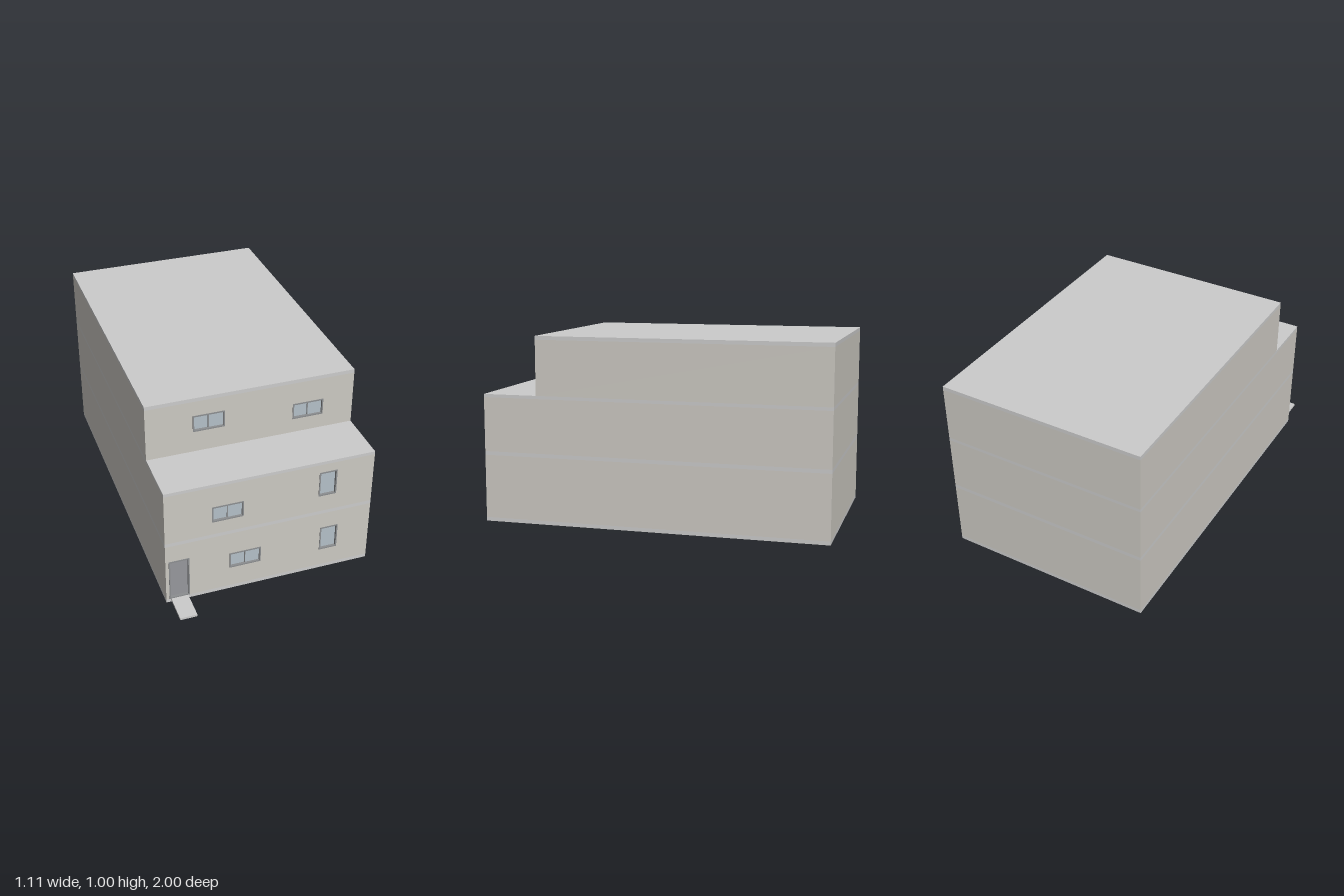
import * as THREE from 'three';

const HALF_W = 0.555, BACK = -1, LOWER_FRONT = 0.845, UPPER_FRONT = 0.55;
const PANEL = 0.02; // depth of the front wall skin that holds the openings
const RIM = 0.007; // width of window and door frames

const paint = (color) => new THREE.MeshStandardMaterial({ color });
const mats = {
  wall: paint(0xccc9c2), slab: paint(0xc0c0be), frame: paint(0x8c8e90),
  glass: paint(0xb4c0c8), door: paint(0x96989c), ramp: paint(0xc0c0be),
};

// Box given by its limits on each axis
function block(name, mat, x0, x1, y0, y1, z0, z1) {
  const mesh = new THREE.Mesh(new THREE.BoxGeometry(x1 - x0, y1 - y0, z1 - z0), mat);
  mesh.position.set((x0 + x1) / 2, (y0 + y1) / 2, (z0 + z1) / 2);
  mesh.name = name;
  return mesh;
}

// Upright rectangular plate with rectangular holes, extruded from z0 to z1
function plate(name, mat, [x0, x1, y0, y1], holes, z0, z1) {
  const corners = ([a, b, c, d]) => [[a, c], [b, c], [b, d], [a, d]].map((p) => new THREE.Vector2(...p));
  const shape = new THREE.Shape(corners([x0, x1, y0, y1]));
  holes.forEach((h) => shape.holes.push(new THREE.Path(corners(h).reverse())));
  const mesh = new THREE.Mesh(new THREE.ExtrudeGeometry(shape, { depth: z1 - z0, bevelEnabled: false }), mat);
  mesh.position.z = z0;
  mesh.name = name;
  return mesh;
}

const inset = ([x0, x1, y0, y1], d) => [x0 + d, x1 - d, y0 + d, y1 - d];

// Framed opening filled with glass or a door leaf
function opening({ kind, rect }, front) {
  const group = new THREE.Group();
  group.name = kind === 'door' ? 'door' : 'window';
  const inner = inset(rect, RIM);
  const [x0, x1, y0, y1] = inner;
  group.add(plate('frame', mats.frame, rect, [inner], front - PANEL, front + 0.003));
  if (kind === 'door') {
    group.add(block('doorLeaf', mats.door, x0, x1, y0, y1, front - PANEL, front - 0.012));
  } else if (kind === 'single') {
    group.add(block('pane', mats.glass, x0, x1, y0, y1, front - PANEL, front - 0.01));
  } else {
    // Two sliding panes with a slim bar between them
    const mid = (x0 + x1) / 2;
    group.add(block('leftPane', mats.glass, mid, x1, y0, y1, front - PANEL, front - 0.008));
    group.add(block('rightPane', mats.glass, x0, mid, y0, y1, front - PANEL, front - 0.011));
    group.add(block('centreBar', mats.frame, mid - 0.002, mid + 0.002, y0, y1, front - PANEL, front - 0.005));
  }
  return group;
}

const storeys = [
  {
    name: 'groundFloor', y0: 0.02, y1: 0.36, front: LOWER_FRONT,
    openings: [
      { kind: 'door', rect: [-0.538, -0.43, 0.021, 0.262] },
      { kind: 'double', rect: [-0.216, -0.048, 0.139, 0.232] },
      { kind: 'single', rect: [0.278, 0.376, 0.124, 0.268] },
    ],
  },
  {
    name: 'middleFloor', y0: 0.38, y1: 0.67, front: LOWER_FRONT,
    openings: [
      { kind: 'double', rect: [-0.31, -0.145, 0.457, 0.549] },
      { kind: 'single', rect: [0.257, 0.353, 0.477, 0.623] },
    ],
  },
  {
    name: 'topFloor', y0: 0.687, y1: 0.98, front: UPPER_FRONT,
    openings: [
      { kind: 'double', rect: [-0.31, -0.143, 0.805, 0.898] },
      { kind: 'double', rect: [0.223, 0.39, 0.768, 0.858] },
    ],
  },
];

export function createModel() {
  const model = new THREE.Group();
  model.name = 'building';

  // Storeys: solid body, pierced front wall, then windows and door
  for (const { name, y0, y1, front, openings } of storeys) {
    const storey = new THREE.Group();
    storey.name = name;
    storey.add(block('walls', mats.wall, -HALF_W, HALF_W, y0, y1, BACK, front - PANEL));
    storey.add(plate('frontWall', mats.wall, [-HALF_W, HALF_W, y0, y1],
      openings.map((o) => o.rect), front - PANEL, front));
    openings.forEach((o) => storey.add(opening(o, front)));
    model.add(storey);
  }

  // Floor slabs, terrace and roof
  [['baseSlab', 0, 0.02, LOWER_FRONT], ['floorSlab', 0.36, 0.38, LOWER_FRONT],
    ['terraceSlab', 0.67, 0.687, LOWER_FRONT], ['roofSlab', 0.98, 1, UPPER_FRONT],
  ].forEach(([name, y0, y1, front]) =>
    model.add(block(name, mats.slab, -HALF_W, HALF_W, y0, y1, BACK, front)));

  // Entrance step in front of the door
  model.add(block('entranceStep', mats.ramp, -0.53, -0.44, 0.01, 0.022, LOWER_FRONT - 0.012, 1));
  return model;
}
